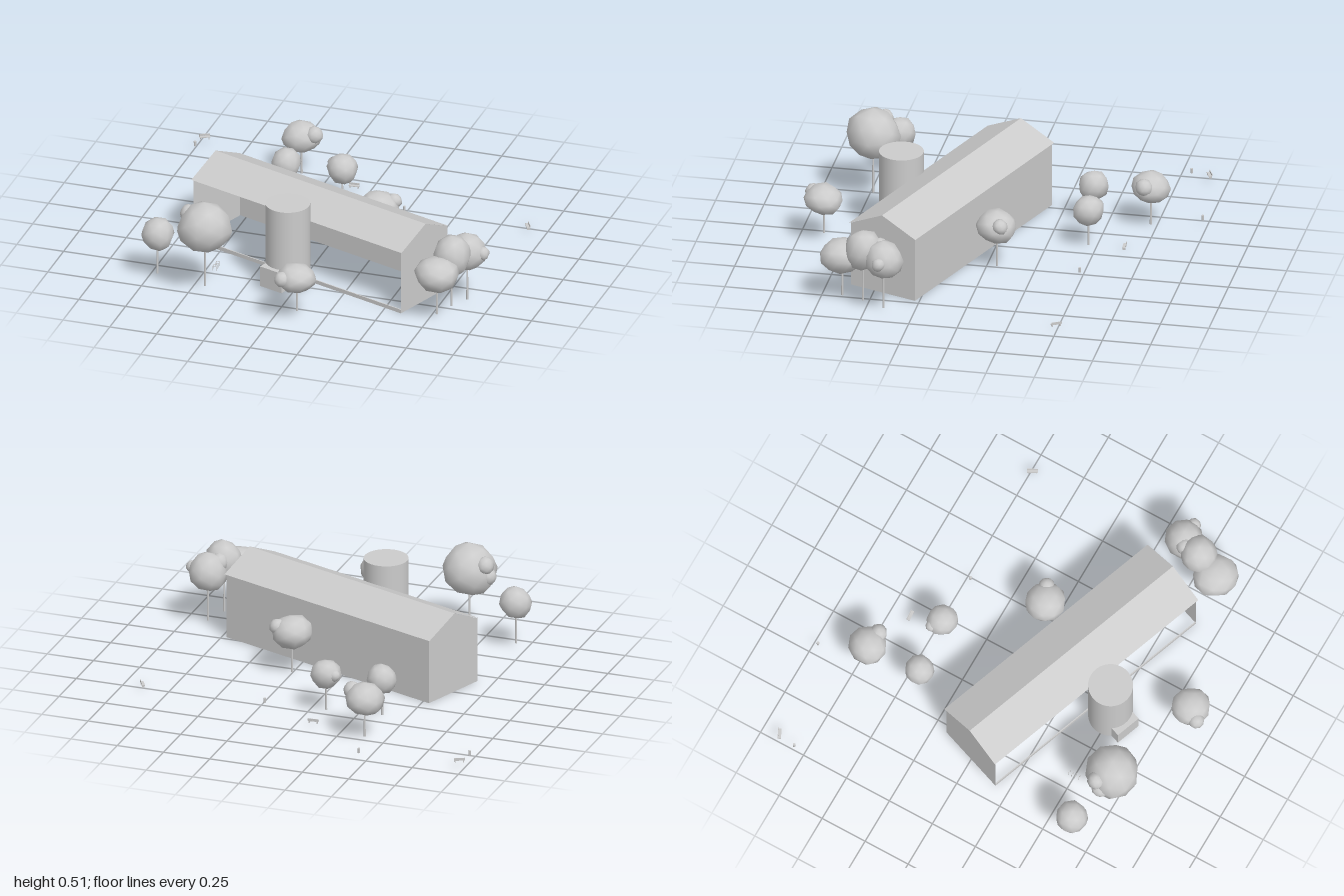
import * as THREE from 'three';
import { mergeVertices } from 'three/addons/utils/BufferGeometryUtils.js';

const solid = new THREE.MeshStandardMaterial({ color: 0xcccccc });
const sheet = new THREE.MeshStandardMaterial({ color: 0xcccccc, side: THREE.DoubleSide });

function add(parent, name, geometry, x = 0, y = 0, z = 0, material = solid) {
  const mesh = new THREE.Mesh(geometry, material);
  mesh.name = name;
  mesh.position.set(x, y, z);
  parent.add(mesh);
  return mesh;
}

function group(parent, name, x = 0, y = 0, z = 0, turn = 0) {
  const g = new THREE.Group();
  g.name = name;
  g.position.set(x, y, z);
  g.rotation.y = turn;
  parent.add(g);
  return g;
}

// Flat panel from four corners
function panel(a, b, c, d) {
  const geo = new THREE.BufferGeometry();
  geo.setAttribute('position', new THREE.Float32BufferAttribute([...a, ...b, ...c, ...d], 3));
  geo.setIndex([0, 1, 2, 0, 2, 3]);
  geo.computeVertexNormals();
  return geo;
}

// Lumpy low-poly foliage ball with smooth normals
function foliage(seed) {
  let geo = new THREE.IcosahedronGeometry(1, 1);
  geo.deleteAttribute('normal');
  geo.deleteAttribute('uv');
  geo = mergeVertices(geo, 1e-3);
  const p = geo.attributes.position;
  const v = new THREE.Vector3();
  for (let i = 0; i < p.count; i++) {
    v.fromBufferAttribute(p, i);
    v.multiplyScalar(1 + 0.06 * Math.sin(12.9 * i + seed * 4.7));
    p.setXYZ(i, v.x, v.y, v.z);
  }
  geo.computeVertexNormals();
  return geo;
}

// Tree: [x, z, crown radius, crown centre y, crown half height, trunk foot y, small clumps [dx, dy, dz, r]]
const TREES = [
  [-0.39, -0.72, 0.1, 0.215, 0.083, 0.01, [[0.075, 0.03, 0.02, 0.045]]],
  [-0.375, -0.425, 0.077, 0.205, 0.08, 0.01, []],
  [-0.085, -0.46, 0.08, 0.205, 0.078, 0.01, [[-0.055, 0.01, -0.03, 0.032]]],
  [0.25, -0.055, 0.104, 0.23, 0.085, 0.01, [[0.07, 0.03, -0.03, 0.04]]],
  [0.875, 0.405, 0.1, 0.285, 0.1, 0.02, [[-0.05, 0.05, 0.03, 0.045], [0.085, 0.01, 0.01, 0.035]]],
  [0.83, 0.52, 0.097, 0.31, 0.108, 0.03, []],
  [0.79, 0.635, 0.115, 0.255, 0.088, 0.03, []],
  [0.12, 0.865, 0.1, 0.237, 0.077, 0.05, [[-0.055, 0.01, 0.065, 0.042]]],
  [-0.42, 0.72, 0.138, 0.365, 0.135, 0.04, [[-0.1, 0.05, -0.04, 0.045], [-0.1, -0.02, -0.01, 0.05]]],
  [-0.7, 0.645, 0.084, 0.25, 0.086, 0.03, []],
];

function makeTree(parent, [x, z, r, cy, ry, foot, clumps], seed) {
  const tree = group(parent, 'tree', x, 0, z);
  add(tree, 'trunk', new THREE.CylinderGeometry(0.004, 0.006, cy - foot, 8), 0, (cy + foot) / 2, 0);
  add(tree, 'crown', foliage(seed), 0, cy, 0).scale.set(r, ry, r);
  clumps.forEach(([dx, dy, dz, cr], i) =>
    add(tree, 'clump', foliage(seed + i + 20), dx, cy + dy, dz).scale.setScalar(cr));
}

function makeBench(parent, x, y, z, turn) {
  const bench = group(parent, 'bench', x, y, z, turn);
  add(bench, 'seat', new THREE.BoxGeometry(0.055, 0.004, 0.016), 0, 0.013, 0);
  add(bench, 'backrest', new THREE.BoxGeometry(0.055, 0.01, 0.003), 0, 0.021, -0.008);
  for (const s of [-1, 1])
    add(bench, 'leg', new THREE.BoxGeometry(0.004, 0.012, 0.014), s * 0.021, 0.006, 0);
}

function makeHall(parent) {
  const hall = group(parent, 'hall', 0.03, 0, 0.225, -0.345);
  const L = 0.67, W = 0.19, eave = 0.345, ridge = 0.435;

  // Open front with a low sill, closed back
  add(hall, 'backWall', panel([L, 0, -W], [-L, 0, -W], [-L, eave, -W], [L, eave, -W]), 0, 0, 0, sheet);
  add(hall, 'frontSill', new THREE.BoxGeometry(2 * L, 0.02, 0.006), 0, 0.01, W - 0.003);

  // Gable ends
  const gable = new THREE.Shape([[-W, 0], [W, 0], [W, eave], [0, ridge - 0.002], [-W, eave]]
    .map(([a, b]) => new THREE.Vector2(a, b)));
  for (const s of [-1, 1])
    add(hall, 'gableWall', new THREE.ShapeGeometry(gable), s * L, 0, 0, sheet).rotation.y = s * Math.PI / 2;

  // Roof slopes with a small overhang
  const R = 0.679, E = 0.197;
  for (const s of [-1, 1])
    add(hall, 'roofSlope', panel([-s * R, eave, s * E], [s * R, eave, s * E], [s * R, ridge, 0], [-s * R, ridge, 0]),
      0, 0, 0, sheet);
}

export function createModel() {
  const model = new THREE.Group();
  model.name = 'hallWithTowerAndTrees';

  makeHall(model);

  // Round tower and its entrance porch
  add(model, 'tower', new THREE.CylinderGeometry(0.114, 0.114, 0.435, 32), -0.052, 0.2425, 0.5);
  add(model, 'porch', new THREE.BoxGeometry(0.138, 0.11, 0.1), -0.083, 0.08, 0.583).rotation.y = -0.345;

  TREES.forEach((tree, i) => makeTree(model, tree, i));

  // Benches
  makeBench(model, -0.97, 0.025, -0.905, 0.44);
  makeBench(model, -0.085, 0.008, -0.645, 0.07);
  makeBench(model, 0.895, 0.008, -0.49, -1.06);

  // Litter bins
  for (const [x, y, z] of [[-0.453, 0.028, -0.975], [-0.99, 0.028, -0.81], [0.24, 0.008, -0.48]])
    add(model, 'bin', new THREE.CylinderGeometry(0.007, 0.006, 0.026, 12), x, y + 0.013, z);

  // Row of cycle stands
  for (let i = 0; i < 4; i++) {
    const stand = group(model, 'cycleStand', -0.433, 0.035, 0.475 + i * 0.019);
    add(stand, 'rail', new THREE.BoxGeometry(0.022, 0.002, 0.002), 0, 0.024, 0);
    for (const s of [-1, 1])
      add(stand, 'post', new THREE.BoxGeometry(0.002, 0.024, 0.002), s * 0.01, 0.012, 0);
  }
  return model;
}
